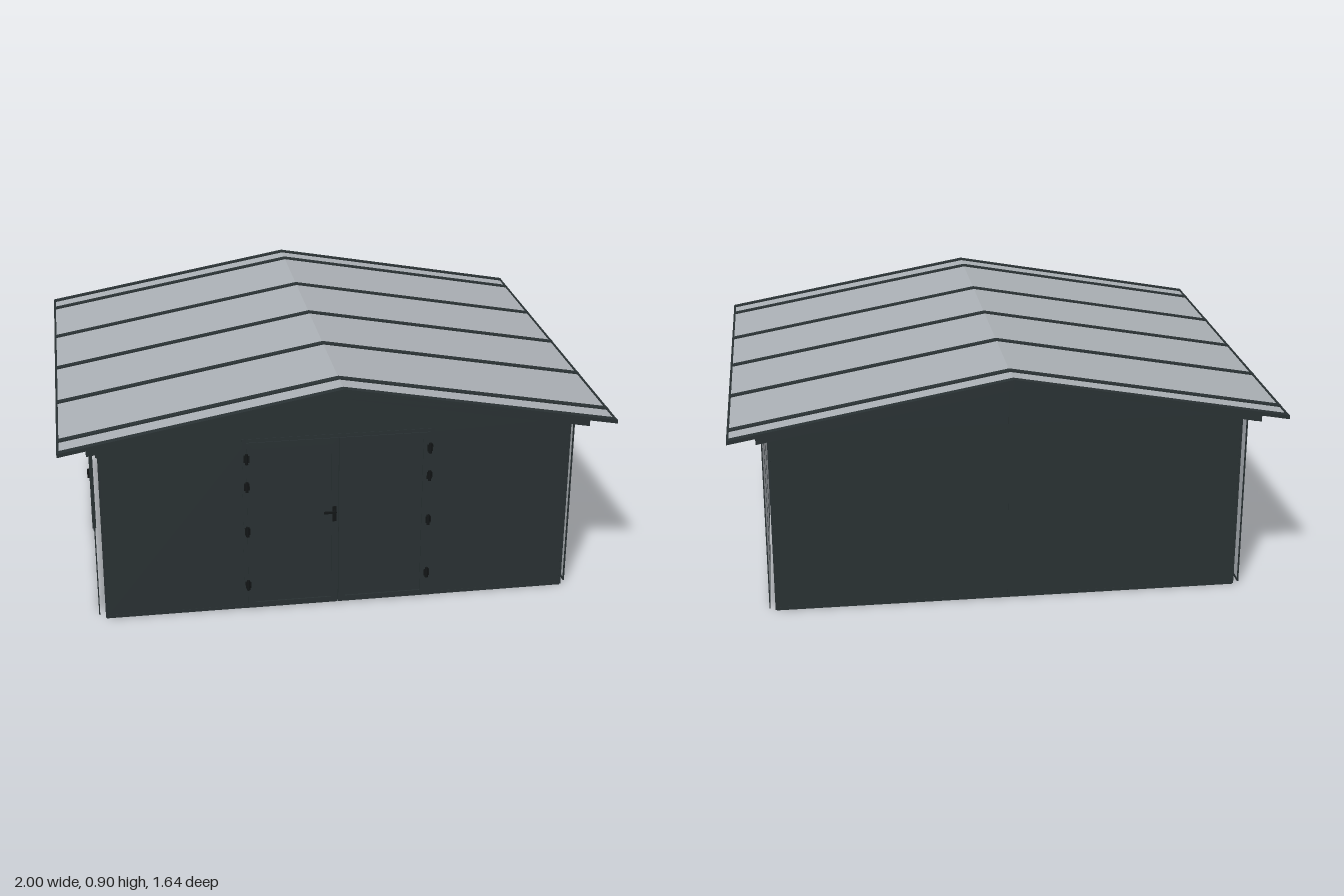
import * as THREE from 'three';

const mat = (name, color) => {
  const m = new THREE.MeshStandardMaterial({ color });
  m.name = name;
  return m;
};

export function createModel() {
  const darkMat = mat('anthracite', 0x293133);
  const sheetMat = mat('pale grey sheet', 0xabb0b5);
  const metalMat = mat('black metal', 0x121516);
  const model = new THREE.Group();
  model.name = 'gardenShed';

  const SLOPE = 0.18, DOOR_H = 0.672;

  function add(parent, name, geo, material, x = 0, y = 0, z = 0) {
    const m = new THREE.Mesh(geo, material);
    m.name = name;
    m.position.set(x, y, z);
    parent.add(m);
    return m;
  }
  // box given by its limits
  function box(parent, name, material, x0, x1, y0, y1, z0, z1) {
    return add(parent, name, new THREE.BoxGeometry(x1 - x0, y1 - y0, z1 - z0), material,
      (x0 + x1) / 2, (y0 + y1) / 2, (z0 + z1) / 2);
  }
  function extrude(points, depth, holes = []) {
    const shape = new THREE.Shape(points.map(p => new THREE.Vector2(...p)));
    holes.forEach(([a, b, c, d]) => shape.holes.push(new THREE.Path(
      [[a, c], [a, d], [b, d], [b, c]].map(p => new THREE.Vector2(...p)))));
    return new THREE.ExtrudeGeometry(shape, { depth, bevelEnabled: false });
  }
  // gable-shaped strip running over the ridge along x
  function chevron(name, material, half, peak, thick, z0, z1) {
    const e = peak - SLOPE * half;
    add(model, name, extrude([[-half, e - thick], [0, peak - thick], [half, e - thick],
      [half, e], [0, peak], [-half, e]], z1 - z0), material, 0, 0, z0);
  }

  // wall in its own frame: outside faces +z, pale lining on the inside
  function wall(name, half, gable, seams, opening) {
    const g = new THREE.Group();
    g.name = name;
    const pts = [[-half, 0.003], [half, 0.003], [half, 0.69]];
    if (gable) pts.push([half, 0.71], [0, 0.865], [-half, 0.71]);
    pts.push([-half, 0.69]);
    const holes = opening ? [[...opening, 0.006, 0.668]] : [];
    add(g, 'outerSkin', extrude(pts, 0.001, holes), darkMat);
    add(g, 'innerLining', extrude(pts, 0.001, holes), sheetMat, 0, 0, -0.001);
    for (const s of seams) {
      const low = opening && s > opening[0] && s < opening[1] ? 0.685 : 0.01;
      box(g, 'panelSeam', darkMat, s - 0.002, s + 0.002, low, gable ? 0.86 : 0.688, -0.002, 0.002);
    }
    // floor rail, end posts and top rail
    const parts = opening ? [[-half, opening[0]], [opening[1], half]] : [[-half, half]];
    for (const [a, b] of parts) box(g, 'floorRail', darkMat, a, b, 0, 0.012, -0.002, 0.002);
    for (const s of [-1, 1])
      box(g, 'endPost', darkMat, s * half - 0.004, s * half + 0.004, 0.003, 0.69, -0.002, 0.002);
    if (!gable) box(g, 'topRail', darkMat, -half, half, 0.682, 0.69, -0.002, 0.002);
    model.add(g);
    return g;
  }

  // flat casing round a doorway
  function casing(g, x0, x1) {
    for (const z of [-0.004, 0.002]) {
      box(g, 'casingPost', darkMat, x0 - 0.015, x0, 0, 0.685, z, z + 0.002);
      box(g, 'casingPost', darkMat, x1, x1 + 0.015, 0, 0.685, z, z + 0.002);
      box(g, 'casingHead', darkMat, x0 - 0.015, x1 + 0.015, 0.668, 0.685, z, z + 0.002);
    }
  }

  // door leaf with stiles, infill, hinges on one side and an optional handle
  function doorLeaf(g, x0, x1, hingeSide, handle) {
    const leaf = new THREE.Group();
    leaf.name = 'doorLeaf';
    g.add(leaf);
    const w = 0.025;
    add(leaf, 'leafFrame', extrude([[x0, 0.003], [x1, 0.003], [x1, DOOR_H], [x0, DOOR_H]], 0.015,
      [[x0 + w, x1 - w, w, DOOR_H - w]]), darkMat, 0, 0, -0.007);
    box(leaf, 'leafPanel', darkMat, x0 + w, x1 - w, w, DOOR_H - w, 0, 0.003);
    box(leaf, 'leafLining', sheetMat, x0 + w, x1 - w, w, DOOR_H - w, -0.003, 0);
    const hx = hingeSide < 0 ? x0 : x1;
    for (const y of [0.1, 0.32, 0.5, 0.61]) {
      add(leaf, 'hinge', new THREE.CylinderGeometry(0.006, 0.006, 0.04, 10), metalMat, hx, y, 0.011);
      box(leaf, 'hingePlate', metalMat, hx - 0.01, hx + 0.01, y - 0.013, y + 0.013, 0.004, 0.011);
    }
    if (!handle) return;
    const x = hingeSide < 0 ? x1 - 0.014 : x0 + 0.014;
    for (const s of [-1, 1]) {
      box(leaf, 'handlePlate', metalMat, x - 0.007, x + 0.007, 0.34, 0.4, s * 0.009 - 0.002, s * 0.009 + 0.002);
      add(leaf, 'handleSpindle', new THREE.CylinderGeometry(0.005, 0.005, 0.022, 10), metalMat,
        x, 0.383, s * 0.017).rotation.x = Math.PI / 2;
      box(leaf, 'handleLever', metalMat, x + hingeSide * 0.02 - 0.022, x + hingeSide * 0.02 + 0.022,
        0.379, 0.387, s * 0.025 - 0.003, s * 0.025 + 0.003);
    }
  }

  // front wall with double door
  const front = wall('frontWall', 0.858, true, [0], [-0.335, 0.335]);
  front.position.z = 0.717;
  casing(front, -0.335, 0.335);
  doorLeaf(front, -0.335, -0.001, -1, true);
  doorLeaf(front, 0.001, 0.335, 1, false);

  // plain back wall
  const back = wall('backWall', 0.858, true, [0], null);
  back.position.z = -0.706;
  back.rotation.y = Math.PI;

  // side walls of four panels, one with a single door
  const left = wall('leftWall', 0.69, false, [-0.345, 0, 0.345], null);
  left.position.x = 0.882;
  left.rotation.y = Math.PI / 2;
  const right = wall('rightWall', 0.69, false, [0.345], [-0.335, -0.01]);
  right.position.x = -0.884;
  right.rotation.y = -Math.PI / 2;
  casing(right, -0.335, -0.01);
  doorLeaf(right, -0.335, -0.01, -1, true);

  // roof sheets with standing ribs
  chevron('roofSheet', sheetMat, 0.998, 0.893, 0.006, -0.815, 0.815);
  for (const z of [-0.81, -0.71, -0.355, 0, 0.35, 0.705, 0.81])
    chevron('roofRib', darkMat, 1, 0.898, 0.014, z - 0.0125, z + 0.0125);

  // gable boards, eave beams and eave edging
  for (const s of [-1, 1]) {
    chevron('gableBoard', darkMat, 0.9, 0.886, 0.028, s * 0.8 - 0.012, s * 0.8 + 0.012);
    box(model, 'eaveBeam', darkMat, s * 0.888 - 0.012, s * 0.888 + 0.012, 0.694, 0.726, -0.8, 0.8);
    box(model, 'eaveEdge', darkMat, s * 0.996 - 0.004, s * 0.996 + 0.004, 0.704, 0.717, -0.82, 0.82);
  }
  return model;
}
